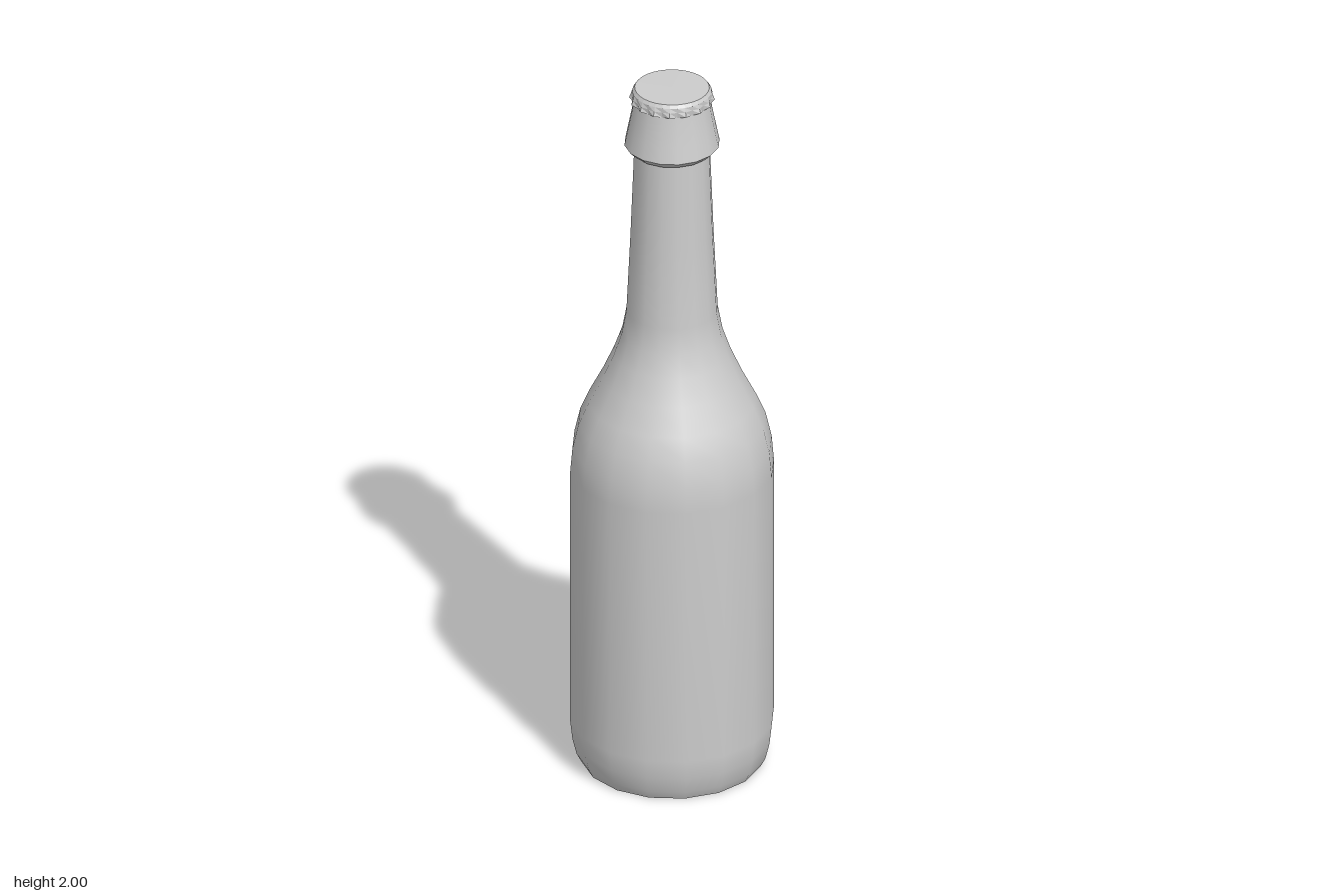
import * as THREE from 'three';

const SIDES = 16;
const TEETH = 16;

function lathe(name, profile, segments, material) {
  const points = profile.map(([r, y]) => new THREE.Vector2(r, y));
  const mesh = new THREE.Mesh(new THREE.LatheGeometry(points, segments), material);
  mesh.name = name;
  return mesh;
}

export function createModel() {
  const grey = new THREE.MeshStandardMaterial({ color: 0xcccccc });
  grey.name = 'pale grey';
  const group = new THREE.Group();
  group.name = 'bottle';

  // Flat base, kept separate so its rim stays sharp
  group.add(lathe('base', [[0, 0.01], [0.225, 0.005], [0.24, 0.005]], SIDES, grey));

  // Body, shoulder and tapering neck
  group.add(lathe('body', [
    [0.24, 0.005], [0.253, 0.03], [0.264, 0.075], [0.27, 0.13],
    [0.27, 0.5], [0.27, 0.87], [0.264, 0.94], [0.248, 1.01],
    [0.222, 1.07], [0.186, 1.14], [0.155, 1.21], [0.134, 1.27],
    [0.121, 1.34], [0.11, 1.57], [0.1, 1.83],
  ], SIDES, grey));

  // Collar under the mouth
  group.add(lathe('collarUnderside', [[0.098, 1.815], [0.108, 1.817], [0.126, 1.835]], SIDES, grey));
  group.add(lathe('collar', [[0.126, 1.835], [0.117, 1.88], [0.107, 1.93], [0.1, 1.975]], SIDES, grey));

  // Crown cap: round top, rolled edge and a crimped skirt
  group.add(lathe('capTop', [[0.098, 1.999], [0, 2]], TEETH * 2, grey));
  const skirt = lathe('capSkirt', [
    [0.098, 1.962], [0.11, 1.962], [0.107, 1.978], [0.104, 1.99], [0.098, 1.999],
  ], TEETH * 2, grey);
  const pos = skirt.geometry.attributes.position;
  const rows = 5;
  for (let i = 0; i < pos.count; i++) {
    const row = i % rows;
    const tip = Math.floor(i / rows) % 2 === 1;
    // Teeth flare out at odd columns and pinch in at even ones
    if (row === 1 || row === 2) {
      const k = (tip ? 1.025 : 0.93) ** (row === 1 ? 1 : 0.4);
      pos.setXYZ(i, pos.getX(i) * k, pos.getY(i) + (tip && row === 1 ? 0.004 : 0), pos.getZ(i) * k);
    }
  }
  // Faceted crimps
  skirt.geometry = skirt.geometry.toNonIndexed();
  skirt.geometry.computeVertexNormals();
  group.add(skirt);

  return group;
}
